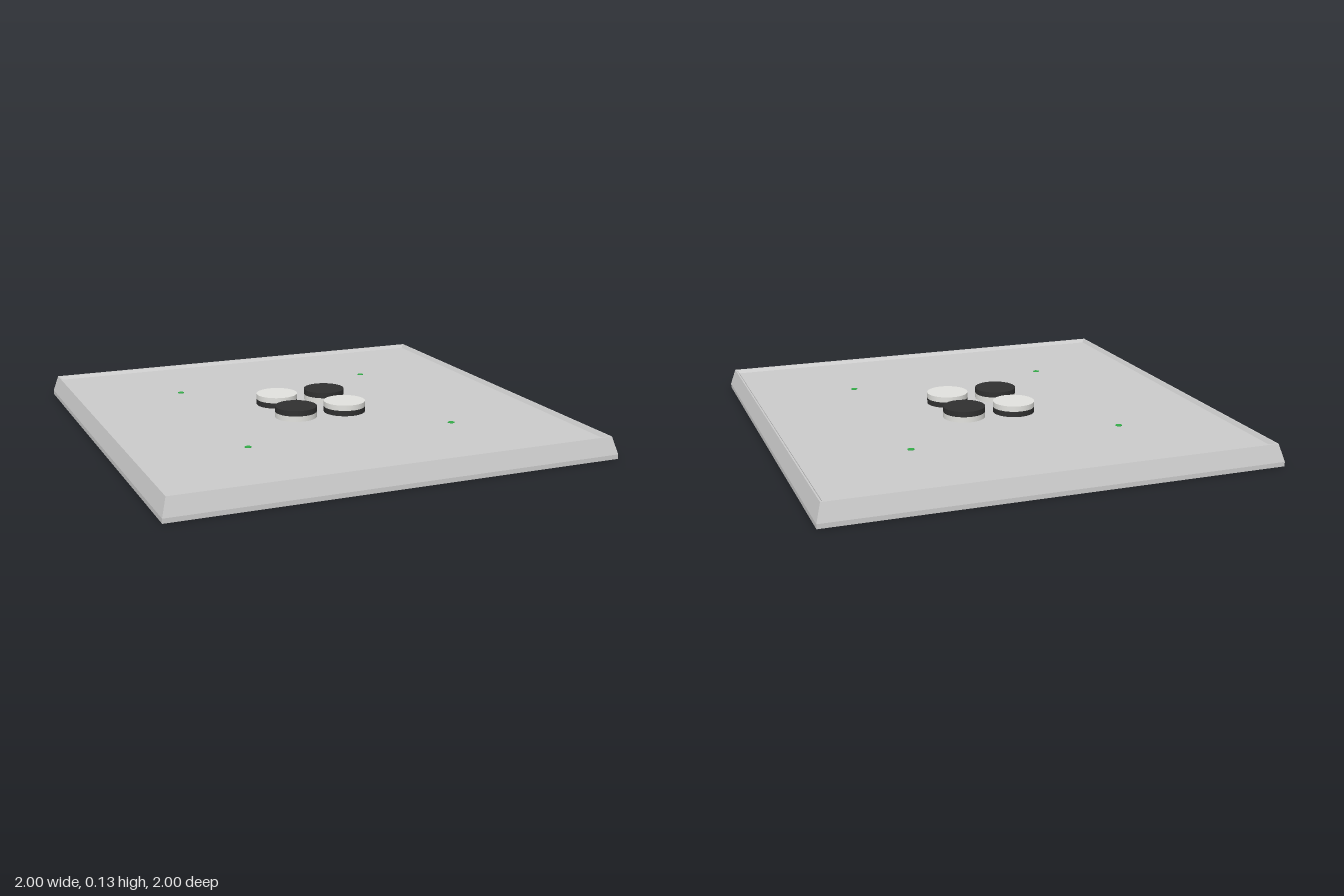
import * as THREE from 'three';

const FLOOR_Y = 0.08, CELL = 0.24, INNER = 0.96;

const paint = (color, flatShading = false) => new THREE.MeshStandardMaterial({ color, flatShading });

function addMesh(parent, name, geometry, material, x = 0, y = 0, z = 0) {
  const mesh = new THREE.Mesh(geometry, material);
  mesh.name = name;
  mesh.position.set(x, y, z);
  parent.add(mesh);
  return mesh;
}

export function createModel() {
  const group = new THREE.Group();
  group.name = 'boardGame';

  const grey = paint(0xcccccc, true);
  const white = paint(0xe2e2de);
  const black = paint(0x303030);
  const green = paint(0x33ad48);

  // Mitred square frame: closed section swept around four sides
  const section = [
    [INNER, 0], [1, 0], [1, 0.02], [0.978, 0.096], [0.971, 0.096], [INNER, FLOOR_Y], [INNER, 0],
  ].map(([r, y]) => new THREE.Vector2(r * Math.SQRT2, y));
  addMesh(group, 'frame', new THREE.LatheGeometry(section, 4, Math.PI / 4), grey);

  // Playing surface and pale underside
  const side = INNER * 2;
  addMesh(group, 'playingSurface', new THREE.BoxGeometry(side, 0.07, side), grey, 0, FLOOR_Y - 0.035, 0);
  addMesh(group, 'underside', new THREE.BoxGeometry(side, 0.01, side), white, 0, 0.005, 0);

  // Two-tone discs in the four centre cells, and marker dots two cells out
  const half = 0.025;
  const discHalf = new THREE.CylinderGeometry(0.095, 0.095, half, 48);
  const dot = new THREE.CylinderGeometry(0.015, 0.015, 0.002, 24);
  for (const sx of [-1, 1]) {
    for (const sz of [-1, 1]) {
      const whiteUp = sx === sz;
      const disc = new THREE.Group();
      disc.name = 'disc';
      disc.position.set(sx * CELL / 2, FLOOR_Y, sz * CELL / 2);
      addMesh(disc, 'discBottom', discHalf, whiteUp ? black : white, 0, half / 2, 0);
      addMesh(disc, 'discTop', discHalf, whiteUp ? white : black, 0, half * 1.5, 0);
      group.add(disc);
      addMesh(group, 'markerDot', dot, green, sx * CELL * 2, FLOOR_Y + 0.001, sz * CELL * 2);
    }
  }
  return group;
}
